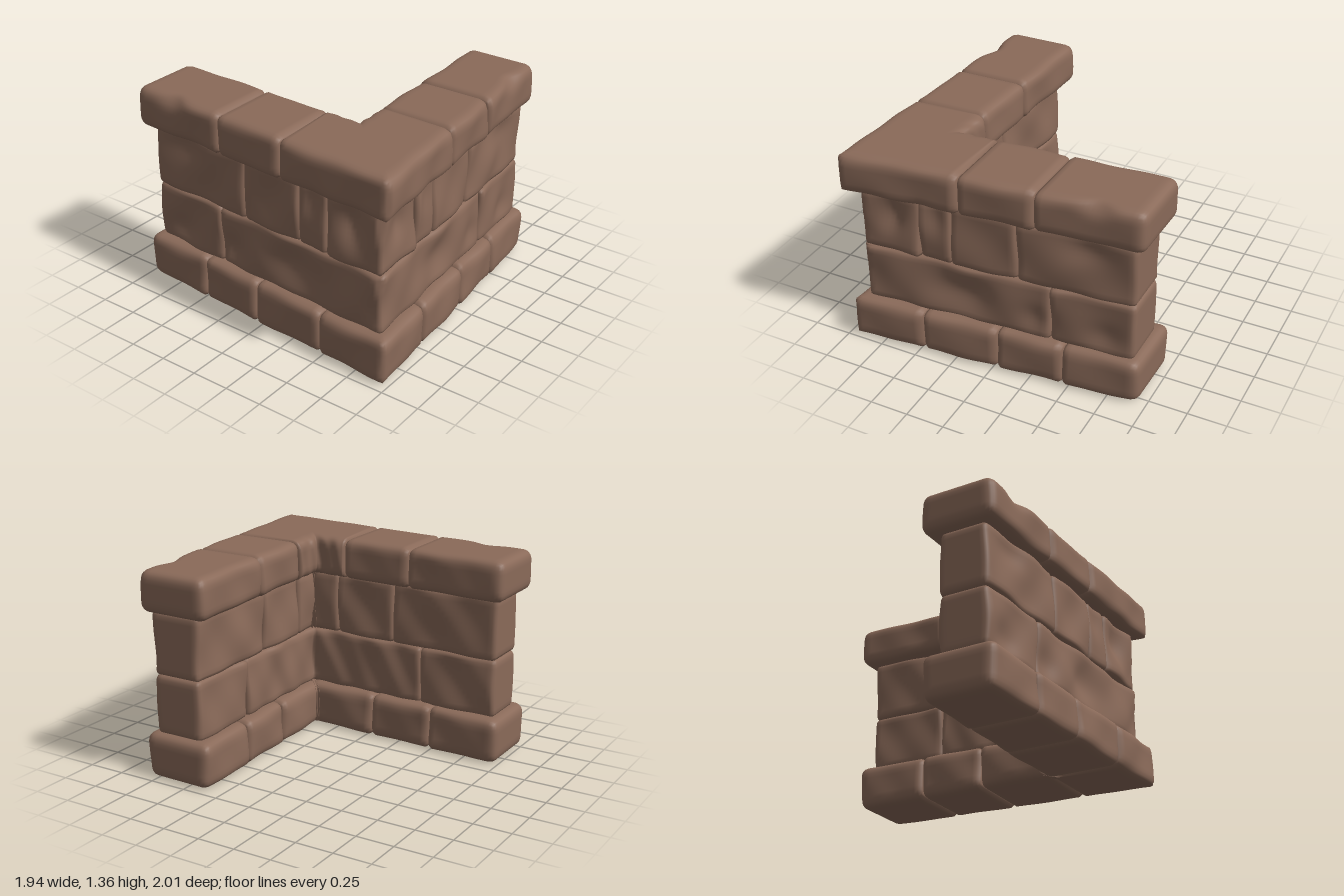
import * as THREE from 'three';
import { mergeVertices } from 'three/addons/utils/BufferGeometryUtils.js';

const stoneMat = new THREE.MeshStandardMaterial({ color: 0x8a6a59 });
stoneMat.name = 'brown stone';

// Plan of the L: outer and inner corner, then outer and inner end of each arm [x, z]
const widePlan = {
  O: [-0.975, 1.005], I: [-0.4, 0.4],
  front: [[0.96, 0.825], [0.97, 0.33]], side: [[-0.83, -1.0], [-0.34, -1.0]],
};
const basePlan = {
  O: [-0.965, 0.99], I: [-0.4, 0.4],
  front: [[0.95, 0.825], [0.96, 0.34]], side: [[-0.82, -0.99], [-0.35, -0.99]],
};
const narrowPlan = {
  O: [-0.895, 0.915], I: [-0.47, 0.47],
  front: [[0.9, 0.78], [0.9, 0.425]], side: [[-0.76, -0.93], [-0.43, -0.93]],
};

// Courses from the ground up; joints are x positions along the front arm
const courses = [
  { name: 'base', plan: basePlan, y0: 0, y1: 0.297, joints: [-0.47, 0.03, 0.46], r: 0.06, end: 0.06, rough: 0.008 },
  { name: 'lowerCourse', plan: narrowPlan, y0: 0.285, y1: 0.68, joints: [0.36], r: 0.035, end: 0.035, rough: 0.012 },
  { name: 'upperCourse', plan: narrowPlan, y0: 0.675, y1: 1.095, joints: [-0.49, -0.28, 0.15], r: 0.03, end: 0.035, rough: 0.012 },
  { name: 'cap', plan: widePlan, y0: 1.085, y1: 1.355, joints: [-0.19, 0.29], r: 0.06, end: 0.06, rough: 0.008 },
];

// Worn hollows in the outer faces: distance along arm, height, half sizes, depth
const hollows = [
  [0.2, 0.93, 0.09, 0.12, 0.045],
  [0.52, 0.98, 0.07, 0.12, 0.025],
  [0.62, 0.48, 0.2, 0.12, 0.035],
  [1.15, 0.42, 0.1, 0.1, 0.03],
  [1.6, 0.4, 0.12, 0.1, 0.03],
  [1.5, 1.0, 0.14, 0.09, 0.025],
  [1.64, 1.36, 0.09, 0.06, 0.05],
];

const lerp = (a, b, t) => a + (b - a) * t;
const mix = (p, q, t) => [lerp(p[0], q[0], t), lerp(p[1], q[1], t)];

// Bends (u along the wall, v across it) onto the L; negative u runs along the side arm
function place(plan, u, v, cornerLength) {
  const length = plan.front[0][0] - plan.O[0];
  const mitre = v * (plan.I[0] - plan.O[0]);
  let d = Math.abs(u);
  if (cornerLength) d = lerp(mitre, Math.max(cornerLength, mitre + 0.02), d / cornerLength);
  const arm = u < 0 ? plan.side : plan.front;
  const p = mix(mix(plan.O, plan.I, v), mix(arm[0], arm[1], v), (d - mitre) / (length - mitre));
  // Blunt the outer corner
  const over = p[1] - p[0] - (plan.O[1] - plan.O[0] - 0.045);
  return over > 0 ? [p[0] + over / 2, p[1] - over / 2] : p;
}

// One worn stone between u0 and u1; r0 and r1 are the rounding of its two ends
function makeStone(c, u0, u1, r0, r1, seed) {
  const len = u1 - u0, h = c.y1 - c.y0, th = c.plan === narrowPlan ? 0.38 : 0.52;
  const isCorner = u0 < 0 && u1 > 0;
  const step = 0.03;
  let geo = new THREE.BoxGeometry(len, h, th, 2 * Math.ceil(len / step / 2), Math.ceil(h / step), Math.ceil(th / step));
  geo.deleteAttribute('normal');
  geo.deleteAttribute('uv');
  geo = mergeVertices(geo);
  const pos = geo.attributes.position;
  const half = [len / 2, h / 2, th / 2];
  for (let i = 0; i < pos.count; i++) {
    const p = [pos.getX(i), pos.getY(i), pos.getZ(i)];
    // Round the edges, with a separate radius along the wall
    const r = [p[0] < 0 ? r0 : r1, c.r, c.r];
    const q = p.map((a, k) => Math.sign(a) * Math.max(0, Math.abs(a) - half[k] + r[k]) / r[k]);
    const n = Math.hypot(...q) || 1;
    let [x, y, z] = p.map((a, k) => a + q[k] * r[k] * (1 / n - 1));
    const u = x + (u0 + u1) / 2, yy = y + (c.y0 + c.y1) / 2;
    // Gentle unevenness and hollows
    const wave = Math.sin(u * 9 + seed * 2.1) * Math.cos(yy * 11 + seed) + 0.5 * Math.sin(u * 17 - yy * 13 + seed * 3.7);
    z += (z / half[2]) * c.rough * (wave - 0.3);
    const outer = Math.max(0, z / half[2]);
    for (const [hu, hy, su, sy, depth] of hollows) {
      z -= outer * depth * Math.exp(-(((Math.abs(u) - hu) / su) ** 2) - ((yy - hy) / sy) ** 2);
    }
    const [wx, wz] = place(c.plan, u, 0.5 - z / th, isCorner ? u1 : 0);
    pos.setXYZ(i, wx, yy, wz);
  }
  geo.computeVertexNormals();
  return new THREE.Mesh(geo, stoneMat);
}

export function createModel() {
  const wall = new THREE.Group();
  wall.name = 'cornerWall';
  const joint = 0.022;
  let seed = 1;
  for (const c of courses) {
    const course = new THREE.Group();
    course.name = c.name;
    const add = (name, ...args) => {
      const stone = makeStone(c, ...args, seed++);
      stone.name = c.name + name;
      course.add(stone);
    };
    const stops = [...c.joints, c.plan.front[0][0]].map((x) => x - c.plan.O[0]);
    // Corner stone, then matching stones along both arms
    add('CornerStone', -stops[0], stops[0], joint, joint);
    for (let i = 1; i < stops.length; i++) {
      const far = i === stops.length - 1 ? c.end : joint;
      add('FrontStone' + i, stops[i - 1], stops[i], joint, far);
      add('SideStone' + i, -stops[i], -stops[i - 1], far, joint);
    }
    wall.add(course);
  }
  return wall;
}
